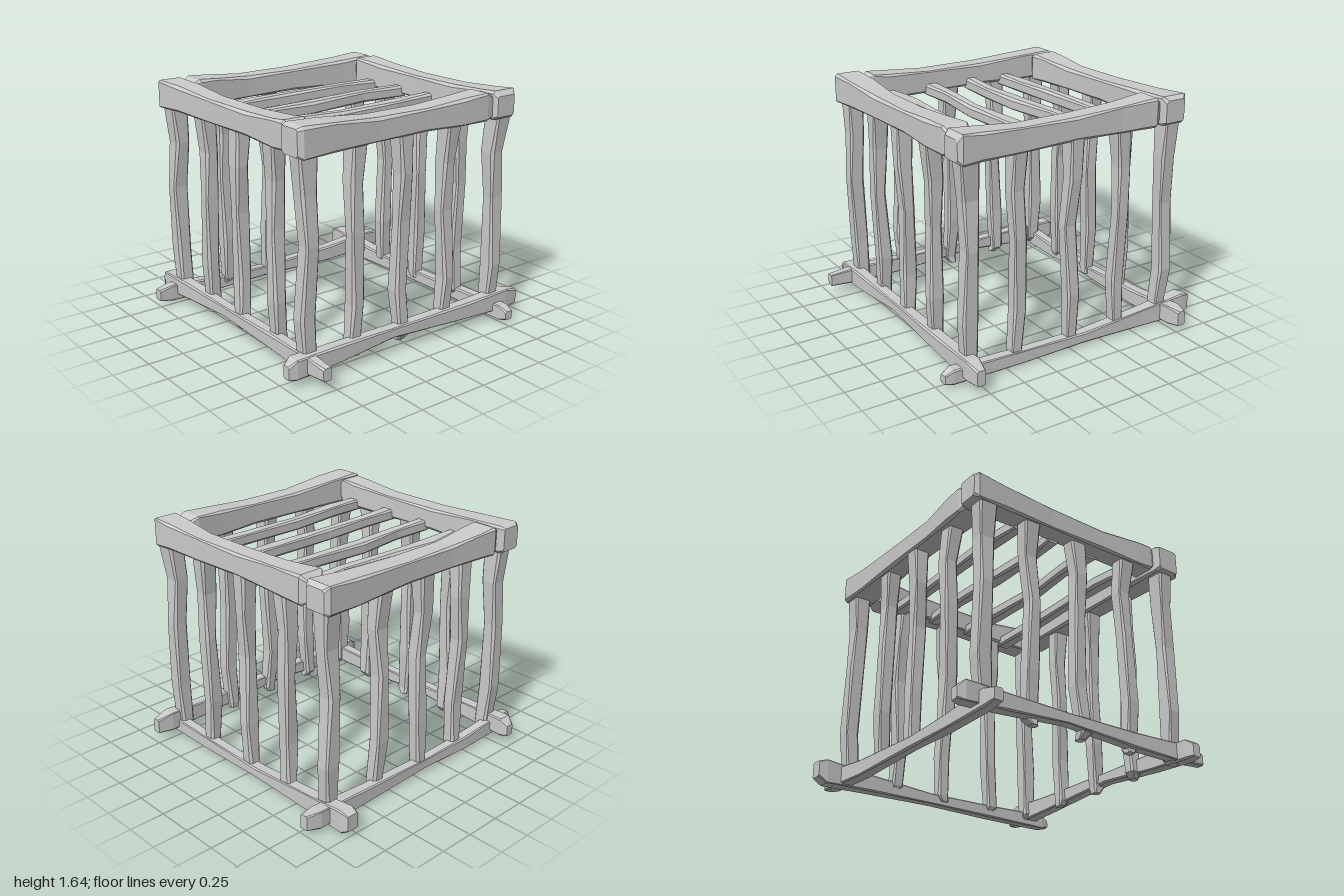
import * as THREE from 'three';

const material = new THREE.MeshStandardMaterial({ color: 0xcccccc, flatShading: true });

// axis order (along, u, v) is cyclic so that the winding stays the same
const AXES = { x: ['x', 'y', 'z'], y: ['y', 'z', 'x'], z: ['z', 'x', 'y'] };

// Rough-hewn timber: stations are [along, uMin, uMax, vMin, vMax], corners cut unevenly
function timber(name, axis, stations, cut = 0.012) {
  const N = 8, [a, b, c] = AXES[axis], rings = [];
  for (const [i, [t, u0, u1, v0, v1]] of stations.entries()) {
    const k = [0, 1, 2, 3].map(j => cut * (0.35 + 0.65 * ((i * 2 + j * 3 + 1) % 4) / 3));
    rings.push([
      [u0 + k[0], v0], [u1 - k[1], v0], [u1, v0 + k[1]], [u1, v1 - k[2]],
      [u1 - k[2], v1], [u0 + k[3], v1], [u0, v1 - k[3]], [u0, v0 + k[0]],
    ].map(([u, v]) => { const p = new THREE.Vector3(); p[a] = t; p[b] = u; p[c] = v; return p; }));
  }
  const pos = [];
  const tri = (...ps) => ps.forEach(p => pos.push(p.x, p.y, p.z));
  for (let i = 0; i < rings.length - 1; i++) {
    for (let j = 0; j < N; j++) {
      const n = (j + 1) % N, r = rings[i], s = rings[i + 1];
      tri(r[j], r[n], s[n]);
      tri(r[j], s[n], s[j]);
    }
  }
  const first = rings[0], last = rings[rings.length - 1];
  for (let j = 1; j < N - 1; j++) {
    tri(first[0], first[j + 1], first[j]);
    tri(last[0], last[j], last[j + 1]);
  }
  const geo = new THREE.BufferGeometry();
  geo.setAttribute('position', new THREE.Float32BufferAttribute(pos, 3));
  geo.computeVertexNormals();
  const mesh = new THREE.Mesh(geo, material);
  mesh.name = name;
  return mesh;
}

export function createModel() {
  const model = new THREE.Group();
  model.name = 'cage';

  // Heavy top frame, four beams overlapping like a pinwheel
  const topFrame = new THREE.Group();
  topFrame.name = 'topFrame';
  topFrame.add(
    timber('topFrontBeam', 'x', [
      [-0.88, 1.45, 1.61, 0.72, 0.86], [-0.85, 1.435, 1.625, 0.70, 0.88], [-0.62, 1.44, 1.62, 0.70, 0.87],
      [-0.25, 1.445, 1.60, 0.71, 0.86], [0.2, 1.445, 1.60, 0.71, 0.86],
      [0.52, 1.44, 1.62, 0.70, 0.87], [0.62, 1.44, 1.63, 0.70, 0.87], [0.655, 1.48, 1.61, 0.71, 0.85]], 0.02),
    timber('topRightBeam', 'z', [
      [-0.66, 0.67, 0.83, 1.46, 1.61], [-0.61, 0.66, 0.84, 1.44, 1.63], [-0.4, 0.67, 0.84, 1.445, 1.62],
      [-0.1, 0.68, 0.83, 1.45, 1.60], [0.3, 0.675, 0.83, 1.45, 1.60],
      [0.65, 0.66, 0.845, 1.44, 1.625], [0.87, 0.655, 0.85, 1.435, 1.635], [0.905, 0.67, 0.83, 1.45, 1.62]], 0.02),
    timber('topBackBeam', 'x', [
      [-0.655, 1.47, 1.60, -0.82, -0.70], [-0.61, 1.44, 1.64, -0.855, -0.665], [-0.34, 1.445, 1.62, -0.835, -0.68],
      [0.0, 1.45, 1.605, -0.835, -0.69], [0.4, 1.445, 1.605, -0.835, -0.69],
      [0.7, 1.44, 1.625, -0.845, -0.67], [0.83, 1.44, 1.635, -0.85, -0.66], [0.86, 1.46, 1.60, -0.83, -0.68]], 0.02),
    timber('topLeftBeam', 'z', [
      [-0.86, -0.83, -0.68, 1.46, 1.61], [-0.83, -0.855, -0.66, 1.44, 1.635], [-0.6, -0.85, -0.67, 1.44, 1.62],
      [-0.15, -0.84, -0.685, 1.45, 1.60], [0.25, -0.84, -0.685, 1.45, 1.60],
      [0.52, -0.855, -0.67, 1.44, 1.62], [0.65, -0.86, -0.66, 1.44, 1.63], [0.685, -0.84, -0.68, 1.46, 1.61]], 0.02),
  );

  // Thin bottom rails with crossing, overhanging ends
  const bottomFrame = new THREE.Group();
  bottomFrame.name = 'bottomFrame';
  bottomFrame.add(
    timber('bottomFrontRail', 'x', [
      [-0.97, 0.06, 0.14, 0.79, 0.85], [-0.92, 0.05, 0.185, 0.77, 0.87], [-0.6, 0.07, 0.185, 0.77, 0.86],
      [-0.15, 0.105, 0.175, 0.77, 0.85], [0.4, 0.075, 0.18, 0.77, 0.85],
      [0.78, 0.065, 0.185, 0.78, 0.86], [1.0, 0.08, 0.165, 0.79, 0.85]]),
    timber('bottomRightRail', 'z', [
      [-0.98, 0.77, 0.83, 0.06, 0.165], [-0.87, 0.75, 0.845, 0.05, 0.19], [-0.5, 0.75, 0.84, 0.07, 0.18],
      [0.15, 0.75, 0.83, 0.105, 0.175], [0.6, 0.75, 0.84, 0.07, 0.185],
      [0.93, 0.75, 0.845, 0.05, 0.185], [0.985, 0.77, 0.83, 0.06, 0.15]]),
    timber('bottomBackRail', 'x', [
      [-1.0, 0.04, 0.15, -0.825, -0.735], [-0.94, 0.0, 0.165, -0.83, -0.725], [-0.6, 0.01, 0.13, -0.82, -0.73],
      [-0.1, 0.02, 0.095, -0.82, -0.74], [0.4, 0.015, 0.105, -0.82, -0.74],
      [0.9, 0.015, 0.12, -0.82, -0.74], [0.96, 0.03, 0.09, -0.81, -0.75]]),
    timber('bottomLeftRail', 'z', [
      [-1.0, -0.82, -0.76, 0.04, 0.145], [-0.9, -0.845, -0.75, 0.02, 0.15], [-0.5, -0.83, -0.745, 0.01, 0.12],
      [0.1, -0.82, -0.75, 0.02, 0.095], [0.5, -0.83, -0.75, 0.015, 0.11],
      [0.9, -0.83, -0.75, 0.02, 0.14], [1.0, -0.82, -0.755, 0.04, 0.12]]),
  );

  // Upright posts: a wobbling width profile, varied by index
  const posts = new THREE.Group();
  posts.name = 'posts';
  const profile = [[0.05, 0.028, 0.03], [0.09, 0.042, 0.042], [0.4, 0.05, 0.045], [0.88, 0.042, 0.048],
    [1.2, 0.052, 0.046], [1.47, 0.062, 0.054]];
  let count = 0;
  function post(name, x, z, scale = 1) {
    const k = count++;
    posts.add(timber(name, 'y', profile.map(([y, hx, hz], i) => {
      const dx = 0.012 * Math.sin(k * 2.1 + i * 1.9), dz = 0.012 * Math.cos(k * 1.7 + i * 2.3);
      const [wx, wz] = k % 2 ? [hz, hx] : [hx, hz];
      return [y, z + dz - wz * scale, z + dz + wz * scale, x + dx - wx * scale, x + dx + wx * scale];
    }), 0.018));
  }
  for (const [x, z] of [[-0.765, 0.8], [0.76, 0.8], [0.76, -0.765], [-0.765, -0.765]]) post('cornerPost', x, z, 1.1);
  for (const x of [-0.39, 0, 0.41]) {
    post('frontPost', x, 0.78);
    post('backPost', x, -0.765);
  }
  for (const z of [0.43, 0.05, -0.33]) {
    post('rightPost', 0.755, z);
    post('leftPost', -0.765, z);
  }

  // Roof bars running front to back between the top beams
  const roof = new THREE.Group();
  roof.name = 'roofBars';
  for (const [k, x] of [-0.45, -0.155, 0.18, 0.5].entries()) {
    roof.add(timber('roofBar', 'z', [-0.72, -0.35, 0.1, 0.45, 0.74].map((z, i) => {
      const dx = 0.012 * Math.sin(k * 2.4 + i * 1.8), h = 0.042 + 0.007 * Math.cos(k * 1.9 + i * 2.2);
      const y = 1.465 + 0.008 * Math.sin(k + i * 1.5);
      return [z, x + dx - h, x + dx + h, y - 0.042, y + 0.036];
    }), 0.018));
  }

  model.add(topFrame, bottomFrame, posts, roof);
  return model;
}
